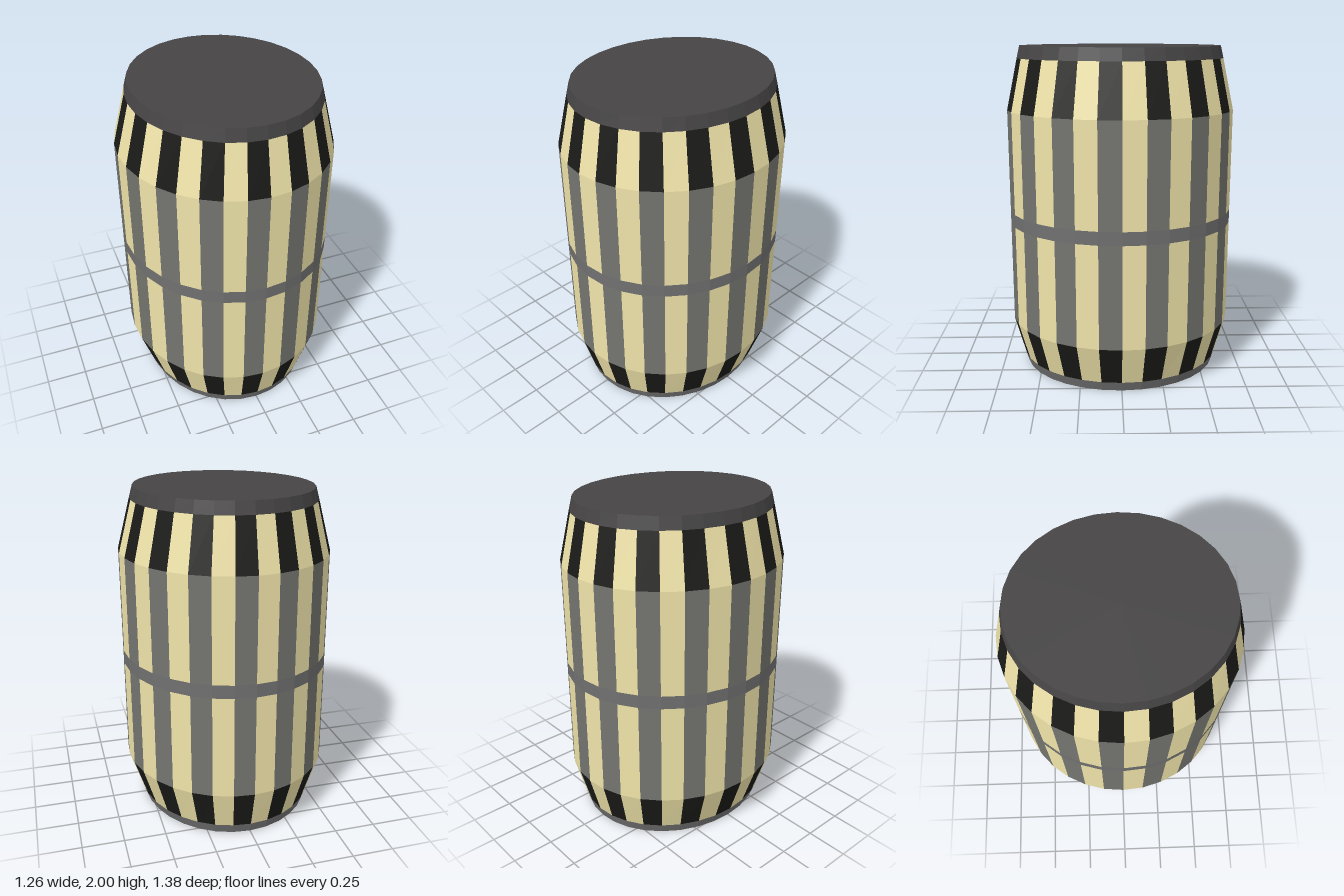
import * as THREE from 'three';

const SIDES = 32;
// Elliptical outline at each height: [half width x, half depth z, y]
const RINGS = {
  bottom: [0.53, 0.605, 0],
  lowerRim: [0.55, 0.622, 0.06],
  lowerBend: [0.63, 0.688, 0.305],
  hoopLow: [0.63, 0.688, 0.93],
  hoopHigh: [0.63, 0.688, 1.01],
  upperBend: [0.63, 0.688, 1.625],
  upperRim: [0.55, 0.622, 1.928],
  top: [0.53, 0.605, 2],
};

const material = (color) => new THREE.MeshStandardMaterial({ color, flatShading: true });

function ringPoint([rx, rz, y], i) {
  const a = (i / SIDES) * Math.PI * 2;
  return [rx * Math.sin(a), y, rz * Math.cos(a)];
}

// Flat panels between two rings, from panel `start` onwards in steps of `step`
function panels(name, lower, upper, mat, start = 0, step = 1) {
  const positions = [];
  for (let i = start; i < SIDES; i += step) {
    const a = ringPoint(lower, i), b = ringPoint(lower, i + 1);
    const c = ringPoint(upper, i + 1), d = ringPoint(upper, i);
    positions.push(...a, ...b, ...c, ...a, ...c, ...d);
  }
  const geometry = new THREE.BufferGeometry();
  geometry.setAttribute('position', new THREE.Float32BufferAttribute(positions, 3));
  geometry.computeVertexNormals();
  const mesh = new THREE.Mesh(geometry, mat);
  mesh.name = name;
  return mesh;
}

// Flat elliptical end of the barrel
function lid(name, [rx, rz, y], mat, facing) {
  const geometry = new THREE.CircleGeometry(1, SIDES);
  geometry.scale(rx, rz, 1).rotateX(-facing * Math.PI / 2).translate(0, y, 0);
  const mesh = new THREE.Mesh(geometry, mat);
  mesh.name = name;
  return mesh;
}

export function createModel() {
  const barrel = new THREE.Group();
  barrel.name = 'barrel';
  const cream = material(0xf0e4aa);
  const grey = material(0x74756f);
  const black = material(0x1a1a18);
  const dark = material(0x464444);
  const metal = material(0x707070);
  const R = RINGS;

  // Alternating staves: tapered ends have black stripes, the straight body grey ones
  const sections = [
    ['lowerTaper', R.lowerRim, R.lowerBend, black],
    ['lowerBody', R.lowerBend, R.hoopLow, grey],
    ['upperBody', R.hoopHigh, R.upperBend, grey],
    ['upperTaper', R.upperBend, R.upperRim, black],
  ];
  for (const [name, low, high, stripe] of sections) {
    barrel.add(panels(name + 'LightStaves', low, high, cream, 0, 2));
    barrel.add(panels(name + 'DarkStaves', low, high, stripe, 1, 2));
  }

  // Flush hoop around the middle, rims and end lids
  barrel.add(
    panels('middleHoop', R.hoopLow, R.hoopHigh, metal),
    panels('bottomRim', R.bottom, R.lowerRim, metal),
    panels('topRim', R.upperRim, R.top, dark),
    lid('topLid', R.top, dark, 1),
    lid('bottomLid', R.bottom, dark, -1),
  );
  return barrel;
}
